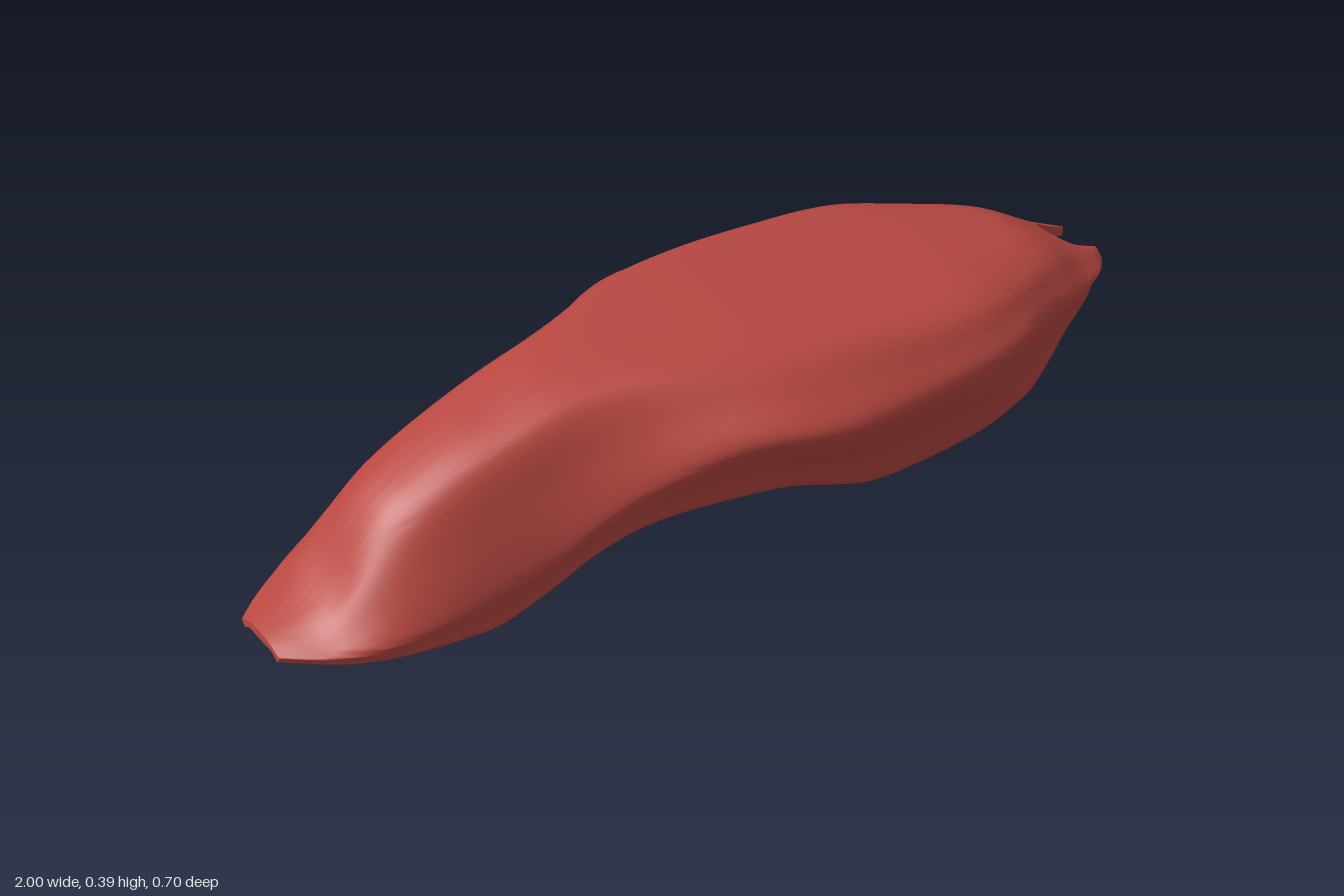
import * as THREE from 'three';
import { mergeVertices, toCreasedNormals } from 'three/addons/utils/BufferGeometryUtils.js';

// Side profile and plan: x, crown height, lower edge height, half width
const PROFILE = [
  [-1, .065, .035, .07], [-.95, .08, .033, .112], [-.9, .1, .031, .145], [-.85, .14, .029, .17],
  [-.8, .21, .026, .183], [-.75, .262, .02, .188], [-.7, .29, .012, .19], [-.6, .332, .002, .19],
  [-.5, .36, .03, .194], [-.4, .385, .076, .206], [-.3, .394, .105, .23], [-.15, .395, .118, .282],
  [0, .394, .105, .335], [.1, .386, .07, .347], [.2, .372, .035, .342], [.3, .364, .022, .333],
  [.5, .342, .018, .31], [.6, .325, .016, .28], [.68, .31, .02, .238], [.75, .297, .06, .208],
  [.8, .28, .095, .19], [.9, .225, .126, .145], [.96, .19, .138, .112], [1, .175, .143, .075],
];
// Cross-section: x, shoulder z, shoulder y, waist y, lower edge z
const SECTION = [
  [-1, .04, .061, .048, .064], [-.9, .085, .088, .05, .14], [-.8, .095, .182, .065, .179],
  [-.7, .1, .258, .075, .186], [-.5, .11, .333, .11, .187], [-.3, .125, .375, .205, .212],
  [-.1, .185, .376, .27, .26], [.1, .225, .361, .25, .284], [.3, .245, .336, .234, .28],
  [.5, .243, .311, .228, .268], [.65, .19, .287, .22, .23], [.8, .13, .255, .19, .18],
  [.9, .09, .208, .165, .137], [1, .056, .171, .152, .068],
];

// Smooth interpolation of one column of a table along x
function sample(table, x, col) {
  const n = table.length;
  let i = 0;
  while (i < n - 2 && x > table[i + 1][0]) i++;
  const slope = k => {
    const a = table[Math.max(k - 1, 0)], b = table[Math.min(k + 1, n - 1)];
    return (b[col] - a[col]) / (b[0] - a[0]);
  };
  const p = table[i], q = table[i + 1], h = q[0] - p[0], t = (x - p[0]) / h;
  const t2 = t * t, t3 = t2 * t;
  return p[col] * (2 * t3 - 3 * t2 + 1) + slope(i) * h * (t3 - 2 * t2 + t)
    + q[col] * (3 * t2 - 2 * t3) + slope(i + 1) * h * (t3 - t2);
}

// Half cross-section: crown, shoulder, waist, rim, then the recessed underside
function halfSection(x) {
  const [top, yb, zw] = [1, 2, 3].map(c => sample(PROFILE, x, c));
  const [zs, ys, yw, zb] = [1, 2, 3, 4].map(c => sample(SECTION, x, c));
  const mix = THREE.MathUtils.lerp;
  const rim = Math.min(.028, zb * .2);
  const recess = .01 + .028 * (1 - x ** 6);
  return new THREE.CatmullRomCurve3([
    [0, top], [zs * .55, mix(top, ys, .22)], [zs, ys],
    [mix(zs, zw, .54), mix(ys, yw, .46)], [zw, yw],
    [mix(zw, zb, .38), mix(yw, yb, .36)], [mix(zw, zb, .82), mix(yw, yb, .64)],
    [zb, mix(yb, yw, .08)], [zb - rim * .4, yb], [zb - rim * .9, yb + recess * .4],
    [zb - rim * 1.8, yb + recess], [zb * .3, yb + recess], [0, yb + recess],
  ].map(([z, y]) => new THREE.Vector3(x, y, z)), false, 'centripetal');
}

// Round-ended slot in the nose
const SLOT_START = .89, SLOT_R = .049;
function slotHalfWidth(x) {
  const d = x - SLOT_START;
  if (d <= 0) return 0;
  return d < SLOT_R ? Math.sqrt(SLOT_R ** 2 - (SLOT_R - d) ** 2) : SLOT_R;
}

// Curve parameter between "inside" (z below the slot edge) and "outside"
function slotEdge(curve, slot, inside, outside) {
  if (slot === 0) return inside;
  for (let k = 0; k < 30; k++) {
    const m = (inside + outside) / 2;
    if (curve.getPoint(m).z < slot) inside = m; else outside = m;
  }
  return inside;
}

function coverGeometry() {
  const xs = [];
  for (let i = 0; i < 90; i++) xs.push(-1 + (SLOT_START + 1) * i / 90);
  for (let i = 0; i <= 18; i++) xs.push(SLOT_START + (1 - SLOT_START) * (i / 18) ** 2);
  const cols = 74, last = xs.length - 1, pos = [], index = [];
  for (const side of [1, -1]) {
    const base = pos.length / 3;
    const at = (i, j) => base + i * cols + j;
    const quad = (a, b, c, d) => index.push(...(side > 0 ? [a, b, c, a, c, d] : [a, c, b, a, d, c]));
    xs.forEach((x, i) => {
      const curve = halfSection(x), slot = slotHalfWidth(x);
      const u0 = slotEdge(curve, slot, 0, 4 / 12), u1 = slotEdge(curve, slot, 1, 8 / 12);
      for (let j = 0; j < cols; j++) {
        const p = curve.getPoint(u0 + (u1 - u0) * j / (cols - 1));
        pos.push(p.x, p.y, side * p.z);
      }
      if (i === last) return;
      for (let j = 0; j < cols - 1; j++) quad(at(i, j), at(i, j + 1), at(i + 1, j + 1), at(i + 1, j));
      // Slot wall joining top and underside
      if (x >= SLOT_START) quad(at(i, cols - 1), at(i, 0), at(i + 1, 0), at(i + 1, cols - 1));
    });
    // Flat ends of tail and nose
    for (let j = 0; j < cols / 2 - 1; j++) {
      const k = cols - 1 - j;
      quad(at(last, j), at(last, j + 1), at(last, k - 1), at(last, k));
      quad(at(0, j), at(0, k), at(0, k - 1), at(0, j + 1));
    }
  }
  const g = new THREE.BufferGeometry();
  g.setAttribute('position', new THREE.Float32BufferAttribute(pos, 3));
  g.setIndex(index);
  return toCreasedNormals(mergeVertices(g, 1e-5), Math.PI / 4);
}

export function createModel() {
  const red = new THREE.MeshStandardMaterial({ color: 0xb94842 });
  red.name = 'brick red';
  const group = new THREE.Group();
  group.name = 'bodyCover';
  const cover = new THREE.Mesh(coverGeometry(), red);
  cover.name = 'coverShell';
  group.add(cover);
  return group;
}
